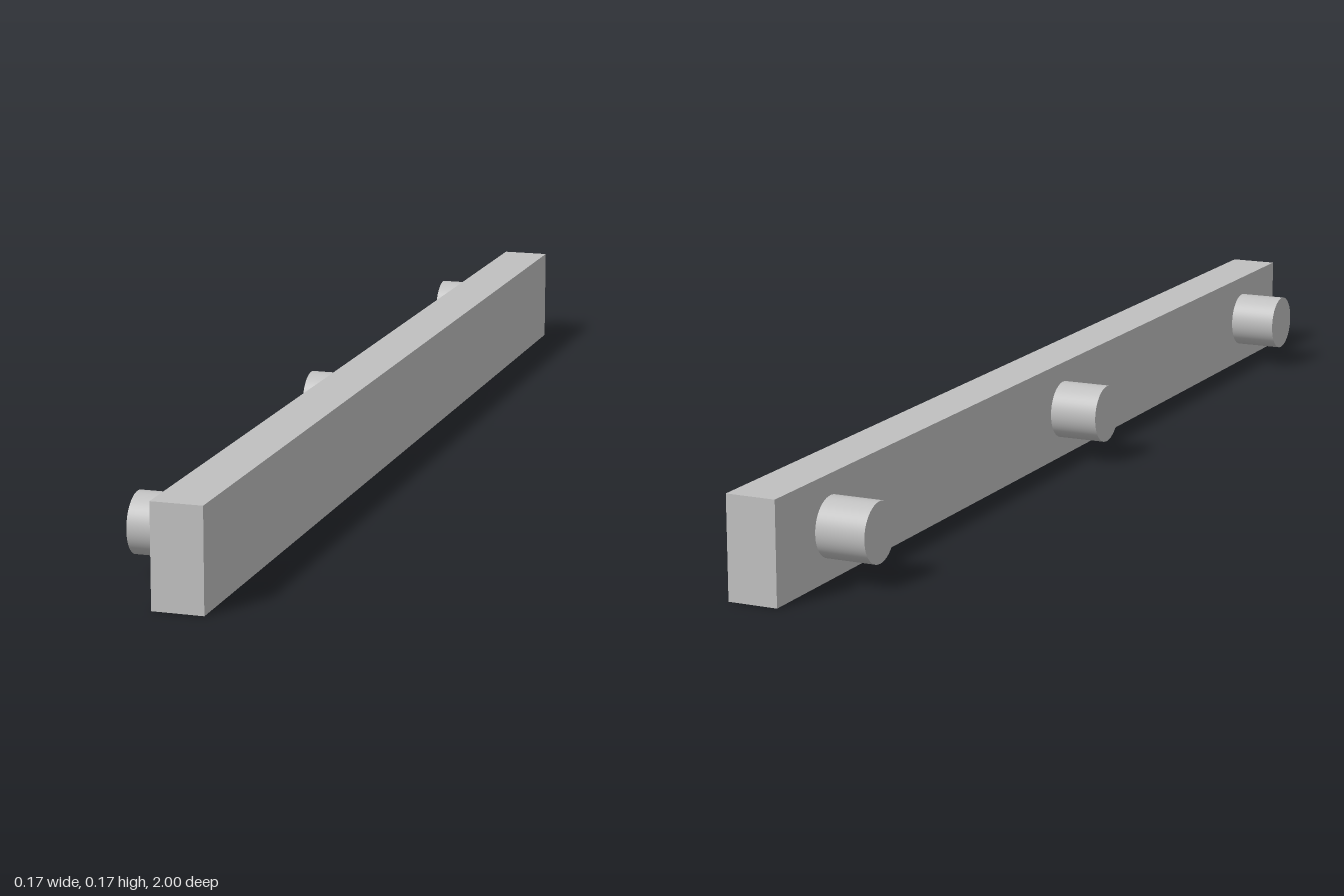
import * as THREE from 'three';

export function createModel() {
  const group = new THREE.Group();
  const grey = new THREE.MeshStandardMaterial({ color: 0xc0c0c0 });
  grey.name = 'light grey';

  const thickness = 0.083, height = 0.167, length = 2;

  // Long flat rail
  const rail = new THREE.Mesh(new THREE.BoxGeometry(thickness, height, length), grey);
  rail.name = 'rail';
  rail.position.set(thickness / 2, height / 2, 0);
  group.add(rail);

  // Three round pegs standing out from the rail's right side
  const pegGeometry = new THREE.CylinderGeometry(0.049, 0.049, 0.084, 48).rotateZ(Math.PI / 2);
  ['backPeg', 'middlePeg', 'frontPeg'].forEach((name, i) => {
    const peg = new THREE.Mesh(pegGeometry, grey);
    peg.name = name;
    peg.position.set(-0.042, 0.084, (i - 1) * 0.833);
    group.add(peg);
  });

  return group;
}
